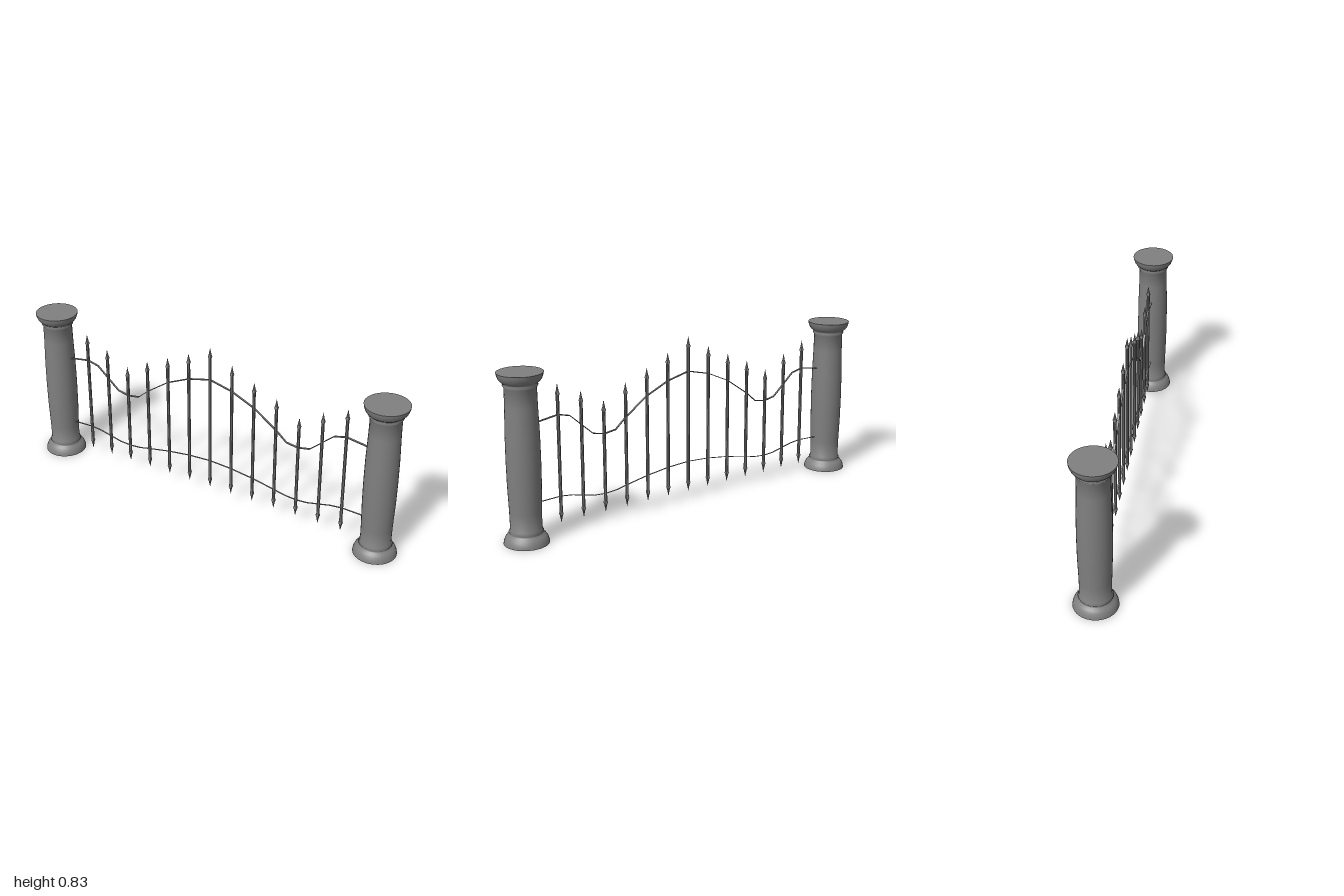
import * as THREE from 'three';
import { toCreasedNormals } from 'three/addons/utils/BufferGeometryUtils.js';

const material = new THREE.MeshStandardMaterial({ color: 0x808080 });

function part(name, geometry) {
  const mesh = new THREE.Mesh(geometry, material);
  mesh.name = name;
  return mesh;
}

// Smoothly turned solid; only the flat ends keep a sharp rim
function lathe(points, sides) {
  const profile = points.map(([r, y]) => new THREE.Vector2(r, y));
  return toCreasedNormals(new THREE.LatheGeometry(profile, sides), 1.4);
}

// Swelling column with a flared foot and head, mirrored about its middle
function columnGeometry() {
  const H = 0.79;
  const lower = [[0.104, 0], [0.102, 0.012], [0.096, 0.028], [0.088, 0.039], [0.077, 0.047],
    [0.075, 0.051], [0.079, 0.057], [0.072, 0.068], [0.073, 0.15], [0.077, 0.28]];
  const upper = lower.map(([r, y]) => [r, H - y]).reverse();
  return lathe([[0, 0], ...lower, [0.078, H / 2], ...upper, [0, H]], 32);
}

// Round bar with a slim spear point at both ends
function barGeometry(top) {
  const bottom = 0.05;
  const point = [[0, 0], [0.007, 0.036], [0.011, 0.046], [0.008, 0.056]];
  return lathe([...point.map(([r, d]) => [r, bottom + d]),
    ...point.map(([r, d]) => [r, top - d]).reverse()], 8);
}

// Thin flat strip following a wavy line, mirrored left to right
function railGeometry(half, thickness, depth) {
  const line = [...half.map(([x, y]) => [-x, y]), ...half.slice(0, -1).reverse()];
  const t = thickness / 2;
  const outline = [...line.map(([x, y]) => [x, y - t]), ...line.slice().reverse().map(([x, y]) => [x, y + t])];
  const shape = new THREE.Shape(outline.map(([x, y]) => new THREE.Vector2(x, y)));
  return new THREE.ExtrudeGeometry(shape, { depth, bevelEnabled: false }).translate(0, 0, -depth / 2);
}

export function createModel() {
  const group = new THREE.Group();
  group.name = 'gate';

  // Columns
  const column = columnGeometry();
  for (const side of [-1, 1]) {
    const mesh = part(side < 0 ? 'rightColumn' : 'leftColumn', column);
    mesh.position.x = side * 0.896;
    group.add(mesh);
  }

  // Bars, from the middle outwards
  const bars = new THREE.Group();
  bars.name = 'bars';
  [0.827, 0.765, 0.71, 0.658, 0.594, 0.658, 0.71].forEach((top, i) => {
    const geometry = barGeometry(top);
    for (const side of i ? [-1, 1] : [1]) {
      const bar = part('bar', geometry);
      bar.position.x = side * i * 0.1192;
      bars.add(bar);
    }
  });
  group.add(bars);

  // Rails, from the column to the middle; the lower one is finer
  const xs = [0.83, 0.715, 0.655, 0.6, 0.535, 0.475, 0.415, 0.36, 0.24, 0.12, 0];
  const upper = [0.549, 0.566, 0.551, 0.502, 0.445, 0.433, 0.442, 0.49, 0.574, 0.628, 0.657];
  const lower = [0.176, 0.18, 0.173, 0.16, 0.145, 0.141, 0.146, 0.158, 0.181, 0.197, 0.204];
  group.add(part('upperRail', railGeometry(xs.map((x, i) => [x, upper[i]]), 0.004, 0.01)));
  group.add(part('lowerRail', railGeometry(xs.map((x, i) => [x, lower[i]]), 0.0015, 0.008)));
  return group;
}
